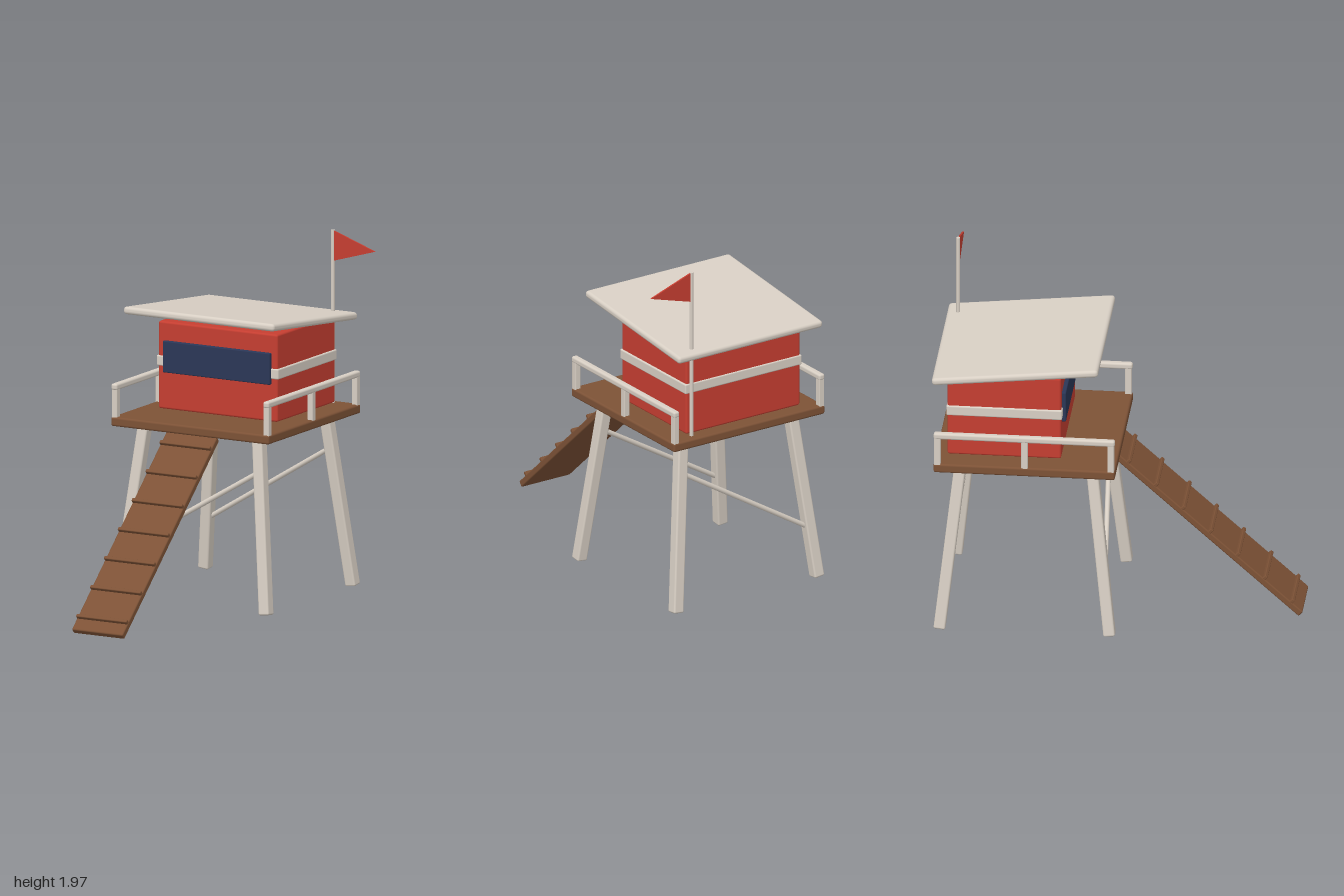
import * as THREE from 'three';
import { RoundedBoxGeometry } from 'three/addons/geometries/RoundedBoxGeometry.js';

const material = (name, color, side = THREE.FrontSide) =>
  Object.assign(new THREE.MeshStandardMaterial({ color, side }), { name });

export function createModel() {
  const model = new THREE.Group();
  model.name = 'beachLookoutHut';
  const cream = material('cream paint', 0xd8cfc4);
  const red = material('red paint', 0xc63e31);
  const brown = material('brown timber', 0x7d5236);
  const navy = material('navy window', 0x2b3757);

  const add = (name, geometry, mat, x, y, z, parent = model) => {
    const mesh = new THREE.Mesh(geometry, mat);
    mesh.name = name;
    mesh.position.set(x, y, z);
    parent.add(mesh);
    return mesh;
  };
  const block = (w, h, d, r = 0.01) => new RoundedBoxGeometry(w, h, d, 2, r);

  // Places a part whose long axis is y between two points
  const UP = new THREE.Vector3(0, 1, 0);
  const span = (name, a, b, makeGeometry, mat) => {
    const dir = b.clone().sub(a);
    const mid = a.clone().add(b).multiplyScalar(0.5);
    const mesh = add(name, makeGeometry(dir.length()), mat, mid.x, mid.y, mid.z);
    mesh.quaternion.setFromUnitVectors(UP, dir.normalize());
  };

  // The tower is centred behind the ramp
  const cx = -0.0625, cz = -0.49;

  // Deck
  add('deck', block(0.995, 0.052, 0.99, 0.012), brown, cx, 0.986, cz);

  // Splayed legs
  const legPoint = (sx, sz, y) => {
    const offset = 0.465 - 0.11 * y;
    return new THREE.Vector3(cx + sx * offset, y, cz + sz * offset);
  };
  for (const sx of [-1, 1]) for (const sz of [-1, 1]) {
    span('leg', legPoint(sx, sz, 0.008), legPoint(sx, sz, 0.97),
      (length) => block(0.064, length, 0.064, 0.01), cream);
  }

  // Diagonal braces on the front and back
  for (const sz of [-1, 1]) {
    span('brace', legPoint(-1, sz, 0.29), legPoint(1, sz, 0.78),
      (length) => new THREE.CylinderGeometry(0.014, 0.014, length, 10), cream);
  }

  // Side railings
  for (const sx of [-1, 1]) {
    const x = cx + sx * 0.478;
    add('handrail', block(0.038, 0.036, 0.99, 0.012), cream, x, 1.178, cz);
    for (const z of [-0.018, -0.488, -0.964]) {
      add('railPost', block(0.034, 0.17, 0.036, 0.005), cream, x, 1.088, z);
    }
  }

  // Cabin with a painted band and front window
  add('cabin', block(0.75, 0.485, 0.62, 0.012), red, cx - 0.002, 1.26, -0.61);
  add('band', block(0.768, 0.058, 0.632, 0.008), cream, cx - 0.002, 1.284, -0.61);
  add('window', block(0.675, 0.175, 0.026, 0.006), navy, cx, 1.312, -0.29);

  // Roof sloping down to the back
  const roof = add('roof', block(0.95, 0.042, 0.912, 0.018), cream, cx - 0.002, 1.541, -0.543);
  roof.rotation.x = -0.104;

  // Flagpole and pennant
  add('flagpole', new THREE.CylinderGeometry(0.011, 0.011, 0.97, 12), cream, 0.287, 1.485, -0.935);
  const pennant = new THREE.Shape([
    new THREE.Vector2(0, -0.085), new THREE.Vector2(0.262, -0.008), new THREE.Vector2(0, 0.083),
  ]);
  add('flag', new THREE.ExtrudeGeometry(pennant, { depth: 0.01, bevelEnabled: false }),
    red, 0.292, 1.884, -0.94);

  // Ramp with cross cleats
  const ramp = new THREE.Group();
  ramp.name = 'ramp';
  ramp.position.set(cx, 0.4925, 0.4775);
  ramp.rotation.x = Math.atan2(0.915, 1.015);
  model.add(ramp);
  add('rampBoard', block(0.32, 0.036, 1.37, 0.008), brown, 0, 0, 0, ramp);
  for (let i = -3; i <= 3; i++) {
    add('cleat', block(0.318, 0.026, 0.02, 0.005), brown, 0, 0.025, i * 0.2, ramp);
  }

  return model;
}
